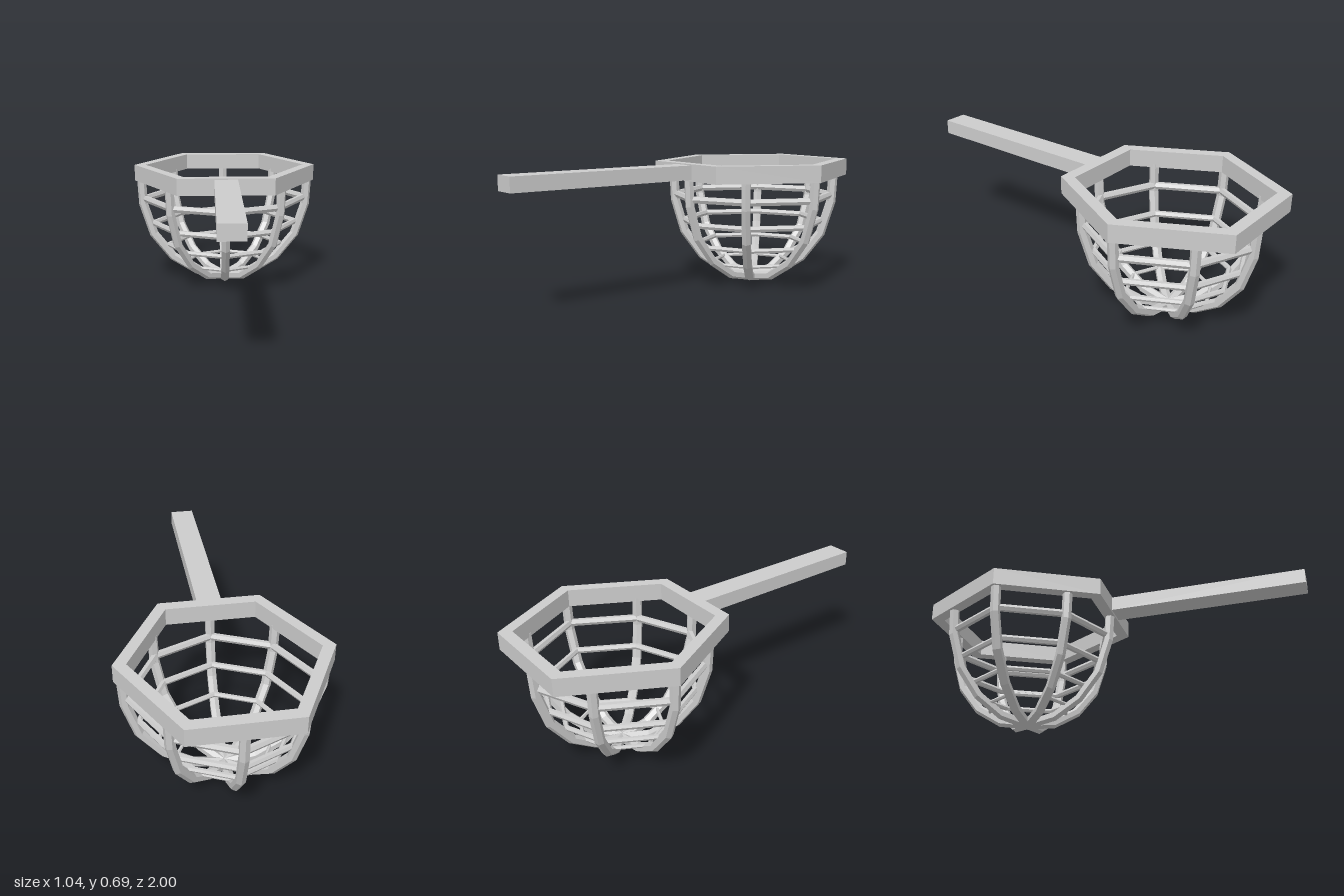
import * as THREE from 'three';

const material = new THREE.MeshStandardMaterial({ color: 0xcccccc, flatShading: true });
const CENTRE_Z = -0.514;

// Hexagonal bar along a list of points; b is the constant sideways axis of its section
function hexBar(points, b, radius, closed = false) {
  const n = points.length, sides = 6, pos = [], index = [];
  points.forEach((p, i) => {
    const prev = points[closed ? (i + n - 1) % n : Math.max(i - 1, 0)];
    const next = points[closed ? (i + 1) % n : Math.min(i + 1, n - 1)];
    const tangent = next.clone().sub(p).normalize()
      .add(p.clone().sub(prev).normalize()).normalize();
    const out = b.clone().cross(tangent).normalize();
    for (let j = 0; j < sides; j++) {
      const a = (j / sides) * Math.PI * 2;
      const v = p.clone().addScaledVector(out, radius * Math.cos(a))
        .addScaledVector(b, radius * Math.sin(a));
      pos.push(v.x, v.y, v.z);
    }
  });
  for (let i = 0; i < (closed ? n : n - 1); i++) {
    for (let j = 0; j < sides; j++) {
      const k = (j + 1) % sides, r0 = i * sides, r1 = ((i + 1) % n) * sides;
      index.push(r0 + j, r0 + k, r1 + k, r0 + j, r1 + k, r1 + j);
    }
  }
  if (!closed) {
    const e = (n - 1) * sides;
    for (let j = 1; j < sides - 1; j++) index.push(0, j + 1, j, e, e + j, e + j + 1);
  }
  const geometry = new THREE.BufferGeometry();
  geometry.setAttribute('position', new THREE.Float32BufferAttribute(pos, 3));
  geometry.setIndex(index);
  geometry.computeVertexNormals();
  return geometry;
}

// Six corners of the rim: cx, cz are the half sizes
const hexagon = (cx, cz) => [[cx, 0], [cx / 2, cz], [-cx / 2, cz], [-cx, 0], [-cx / 2, -cz], [cx / 2, -cz]]
  .map(([x, y]) => new THREE.Vector2(x, y));

export function createModel() {
  const model = new THREE.Group();
  model.name = 'basketLadle';
  const add = (name, geometry, parent = model) => {
    const mesh = new THREE.Mesh(geometry, material);
    mesh.name = name;
    parent.add(mesh);
    return mesh;
  };

  // Six-sided rim
  const shape = new THREE.Shape(hexagon(0.52, 0.486));
  shape.holes.push(new THREE.Path(hexagon(0.455, 0.425)));
  const rimGeometry = new THREE.ExtrudeGeometry(shape, { depth: 0.091, bevelEnabled: false });
  rimGeometry.rotateX(-Math.PI / 2);
  add('rim', rimGeometry).position.set(0, 0.604, CENTRE_Z);

  // Straight square handle, let into the front of the rim
  add('handle', new THREE.BoxGeometry(0.125, 0.076, 1.05)).position.set(0, 0.651, 0.475);

  const basket = new THREE.Group();
  basket.name = 'basket';
  basket.position.z = CENTRE_Z;
  model.add(basket);

  // Where the eight ribs meet the rim, going round
  const feet = [[0.482, 0], [0.307, 0.3235], [0, 0.456], [-0.307, 0.3235],
    [-0.482, 0], [-0.307, -0.3235], [0, -0.456], [0.307, -0.3235]];

  // Ribs: [share of the rim radius, height]
  const profile = [[1, 0.62], [0.982, 0.465], [0.861, 0.285], [0.629, 0.147], [0.332, 0.06], [0, 0.03]];
  feet.forEach(([x, z]) => {
    const side = new THREE.Vector3(-z, 0, x).normalize();
    const points = profile.map(([s, y]) => new THREE.Vector3(x * s, y, z * s));
    add('rib', hexBar(points, side, 0.026), basket);
  });

  // Hoops, thinner towards the bottom: [share of the rim radius, height, thickness]
  [[0.965, 0.5, 0.02], [0.86, 0.354, 0.017], [0.68, 0.223, 0.014], [0.485, 0.119, 0.0105]]
    .forEach(([s, y, r]) => {
      const points = feet.map(([x, z]) => new THREE.Vector3(x * s, y + 0.008 * x, z * s));
      add('hoop', hexBar(points, new THREE.Vector3(0, 1, 0), r, true), basket);
    });

  return model;
}
